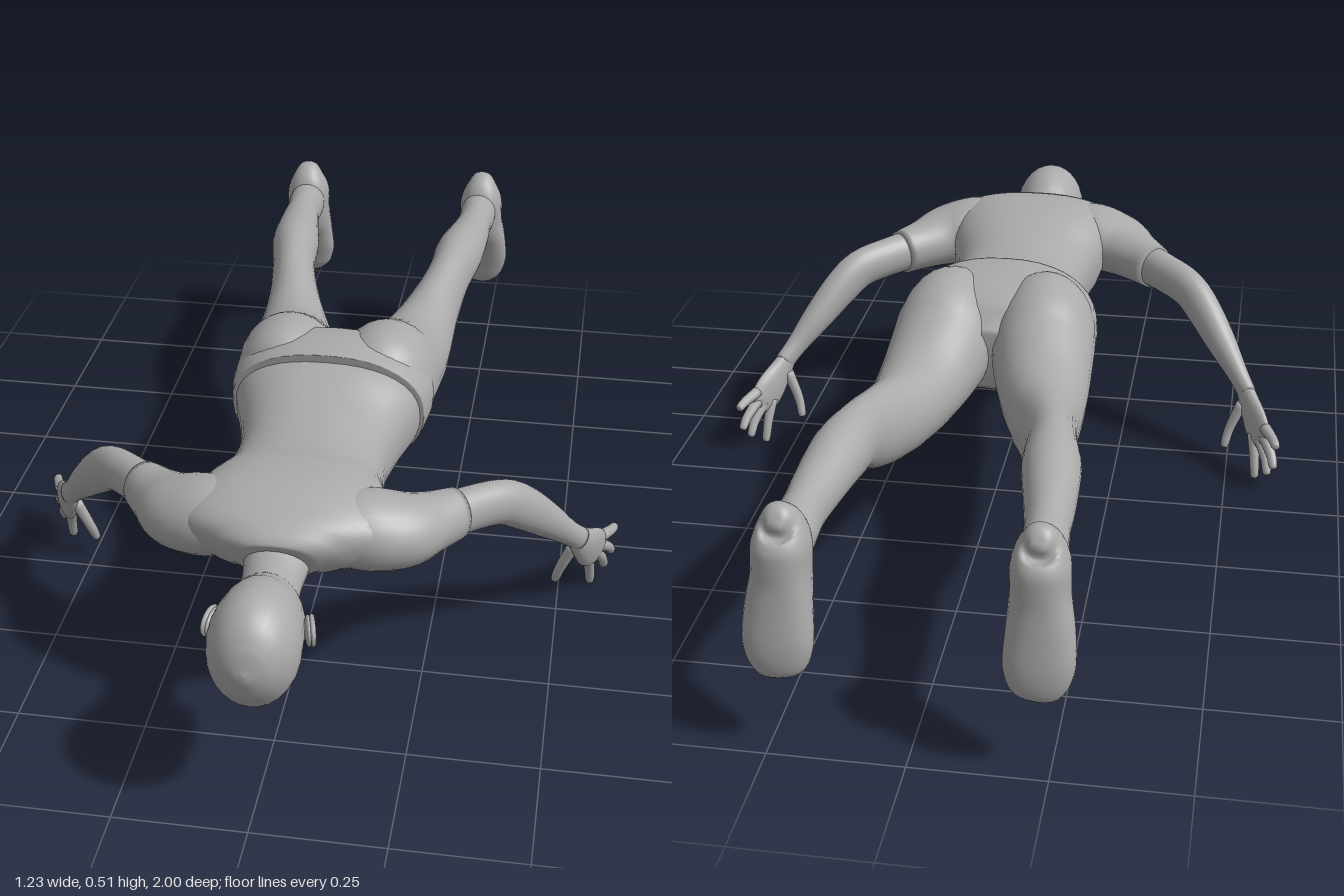
import * as THREE from 'three';

const grey = new THREE.MeshStandardMaterial({ color: 0xaaaaaa });
grey.name = 'plainGrey';

// Smooth closed skin through rings [x, y, z, halfWidth, halfDepth]; width runs along `across`.
function loft(name, rings, { across = [1, 0, 0], sides = 28, steps = 5, boxy = 1 } = {}) {
  const path = new THREE.CatmullRomCurve3(rings.map(r => new THREE.Vector3(r[0], r[1], r[2])), false, 'catmullrom', 0.5);
  const size = new THREE.CatmullRomCurve3(rings.map(r => new THREE.Vector3(r[3], r[4], 0)), false, 'catmullrom', 0.5);
  const n = (rings.length - 1) * steps;
  const pos = [], index = [];
  const bend = v => Math.sign(v) * Math.pow(Math.abs(v), boxy);
  for (let i = 0; i <= n; i++) {
    const c = path.getPoint(i / n), s = size.getPoint(i / n), t = path.getTangent(i / n);
    const u = new THREE.Vector3(...across);
    u.addScaledVector(t, -u.dot(t)).normalize();
    const v = new THREE.Vector3().crossVectors(t, u);
    for (let j = 0; j < sides; j++) {
      const a = (j / sides) * Math.PI * 2;
      const p = c.clone()
        .addScaledVector(u, bend(Math.cos(a)) * Math.max(s.x, 0.001))
        .addScaledVector(v, bend(Math.sin(a)) * Math.max(s.y, 0.001));
      pos.push(p.x, p.y, p.z);
      if (i < n) {
        const k = i * sides + j, l = i * sides + (j + 1) % sides;
        index.push(k, l, k + sides, l, l + sides, k + sides);
      }
    }
  }
  // end caps
  for (const [i, flip] of [[0, true], [n, false]]) {
    const c = path.getPoint(i / n), m = pos.length / 3;
    pos.push(c.x, c.y, c.z);
    for (let j = 0; j < sides; j++) {
      const k = i * sides + j, l = i * sides + (j + 1) % sides;
      index.push(...(flip ? [m, l, k] : [m, k, l]));
    }
  }
  const g = new THREE.BufferGeometry();
  g.setAttribute('position', new THREE.Float32BufferAttribute(pos, 3));
  g.setIndex(index);
  g.computeVertexNormals();
  const mesh = new THREE.Mesh(g, grey);
  mesh.name = name;
  return mesh;
}

// Ring across the body given its low and high y
const slab = (z, w, low, high, x = 0) => [x, (low + high) / 2, z, w, (high - low) / 2];

function blob(name, x, y, z, rx, ry, rz) {
  const mesh = new THREE.Mesh(new THREE.SphereGeometry(1, 24, 16), grey);
  mesh.name = name;
  mesh.position.set(x, y, z);
  mesh.scale.set(rx, ry, rz);
  return mesh;
}

function buildHead() {
  const head = new THREE.Group();
  head.name = 'head';
  head.add(
    loft('neck', [slab(0.62, 0.07, 0.335, 0.44), slab(0.70, 0.06, 0.322, 0.418),
      slab(0.75, 0.055, 0.31, 0.412), slab(0.82, 0.06, 0.29, 0.42)]),
    loft('skull', [slab(0.735, 0.02, 0.275, 0.345), slab(0.755, 0.045, 0.246, 0.39), slab(0.79, 0.068, 0.23, 0.412),
      slab(0.83, 0.076, 0.229, 0.43), slab(0.87, 0.081, 0.232, 0.448), slab(0.91, 0.083, 0.235, 0.455),
      slab(0.95, 0.073, 0.256, 0.443), slab(0.98, 0.049, 0.292, 0.41), slab(0.993, 0.024, 0.325, 0.378),
      slab(0.998, 0.002, 0.35, 0.354)]),
    blob('chin', 0, 0.25, 0.757, 0.026, 0.02, 0.018),
    blob('lips', 0, 0.231, 0.786, 0.022, 0.01, 0.01),
    loft('nose', [[0, 0.237, 0.875, 0.006, 0.005], [0, 0.228, 0.85, 0.009, 0.012],
      [0, 0.222, 0.825, 0.015, 0.015], [0, 0.23, 0.812, 0.006, 0.005]], { sides: 14 }));
  for (const s of [-1, 1]) {
    const ear = blob('ear', s * 0.084, 0.342, 0.842, 0.008, 0.026, 0.033);
    ear.rotation.y = s * 0.25;
    const rim = new THREE.Mesh(new THREE.TorusGeometry(0.022, 0.005, 8, 24), grey);
    rim.name = 'earRim';
    rim.position.set(s * 0.091, 0.344, 0.842);
    rim.rotation.y = Math.PI / 2 + s * 0.25;
    rim.scale.x = 1.25;
    head.add(ear, rim, blob('eye', s * 0.032, 0.245, 0.852, 0.016, 0.011, 0.009));
  }
  return head;
}

function buildArm(s) {
  const arm = new THREE.Group();
  arm.name = s > 0 ? 'leftArm' : 'rightArm';
  const side = rings => rings.map(([x, ...r]) => [s * x, ...r]);
  const up = { across: [0, 1, 0] };
  arm.add(
    loft('sleeve', side([[0.07, 0.405, 0.605, 0.06, 0.06], [0.14, 0.395, 0.59, 0.075, 0.082],
      [0.205, 0.383, 0.565, 0.07, 0.082], [0.255, 0.374, 0.52, 0.058, 0.062], [0.302, 0.368, 0.472, 0.052, 0.046]]), up),
    loft('forearm', side([[0.27, 0.37, 0.505, 0.048, 0.042], [0.33, 0.365, 0.445, 0.046, 0.038],
      [0.385, 0.352, 0.395, 0.046, 0.036], [0.425, 0.317, 0.356, 0.044, 0.036], [0.47, 0.262, 0.308, 0.036, 0.032],
      [0.512, 0.207, 0.262, 0.026, 0.022], [0.538, 0.172, 0.23, 0.025, 0.018]]), up),
    // palm lies in a plane of height and reach
    loft('palm', side([[0.53, 0.183, 0.24, 0.023, 0.017], [0.545, 0.153, 0.215, 0.034, 0.018],
      [0.56, 0.125, 0.185, 0.043, 0.017], [0.573, 0.103, 0.16, 0.04, 0.014], [0.58, 0.092, 0.148, 0.028, 0.008]]),
    { across: [-0.44 * s, -0.6, 0.6], sides: 20 }));
  const fingers = [
    ['thumb', [0.527, 0.15, 0.225], [0.503, 0.09, 0.218], [0.492, 0.046, 0.205]],
    ['indexFinger', [0.556, 0.1, 0.18], [0.562, 0.053, 0.158], [0.566, 0.006, 0.142]],
    ['middleFinger', [0.57, 0.1, 0.163], [0.586, 0.065, 0.134], [0.593, 0.032, 0.112]],
    ['ringFinger', [0.58, 0.11, 0.152], [0.598, 0.083, 0.118], [0.606, 0.058, 0.094]],
    ['littleFinger', [0.582, 0.13, 0.15], [0.6, 0.122, 0.113], [0.609, 0.115, 0.086]]
  ];
  for (const [name, a, b, c] of fingers) {
    const nearTip = c.map((v, i) => v + (b[i] - v) * 0.15);
    arm.add(loft(name, side([[...a, 0.013, 0.013], [...b, 0.011, 0.011], [...nearTip, 0.009, 0.009], [...c, 0.002, 0.002]]),
      { across: [s, 0, 0.7], sides: 12 }));
  }
  return arm;
}

function buildLeg(s) {
  const leg = new THREE.Group();
  leg.name = s > 0 ? 'leftLeg' : 'rightLeg';
  const ring = (z, inner, outer, low, high) => slab(z, (outer - inner) / 2, low, high, s * (inner + outer) / 2);
  leg.add(
    loft('trouserLeg', [ring(0.11, 0.03, 0.17, 0.3, 0.47), ring(0.07, 0.0, 0.2, 0.265, 0.508),
      ring(0.0, -0.004, 0.213, 0.254, 0.508), ring(-0.07, 0.004, 0.217, 0.252, 0.475), ring(-0.18, 0.034, 0.22, 0.25, 0.43),
      ring(-0.29, 0.07, 0.22, 0.252, 0.42), ring(-0.395, 0.107, 0.222, 0.272, 0.436), ring(-0.5, 0.135, 0.234, 0.313, 0.453),
      ring(-0.6, 0.142, 0.253, 0.334, 0.457), ring(-0.72, 0.163, 0.258, 0.337, 0.441), ring(-0.8, 0.175, 0.257, 0.335, 0.434),
      ring(-0.88, 0.175, 0.262, 0.33, 0.43), ring(-0.93, 0.185, 0.25, 0.345, 0.415)]));
  // foot runs from heel down to toe, sole facing back
  const sole = (y, x, w, back, front) => [s * x, y, (back + front) / 2, w, (front - back) / 2];
  leg.add(loft('foot', [sole(0.448, 0.222, 0.012, -0.965, -0.945), sole(0.438, 0.222, 0.035, -0.978, -0.895),
    sole(0.4, 0.222, 0.051, -0.984, -0.868), sole(0.34, 0.223, 0.053, -0.987, -0.873), sole(0.28, 0.226, 0.06, -0.992, -0.905),
    sole(0.22, 0.226, 0.063, -0.999, -0.93), sole(0.18, 0.223, 0.052, -0.998, -0.942), sole(0.16, 0.221, 0.034, -0.99, -0.952),
    sole(0.152, 0.22, 0.008, -0.978, -0.966)], { boxy: 0.88 }));
  return leg;
}

export function createModel() {
  const model = new THREE.Group();
  model.name = 'lyingFigure';
  // shirt, from hem to collar
  model.add(loft('shirt', [slab(0.1, 0.197, 0.25, 0.488), slab(0.14, 0.19, 0.238, 0.486), slab(0.22, 0.165, 0.238, 0.465),
    slab(0.31, 0.15, 0.24, 0.457), slab(0.4, 0.155, 0.238, 0.46), slab(0.47, 0.172, 0.245, 0.47),
    slab(0.53, 0.185, 0.272, 0.485), slab(0.59, 0.195, 0.305, 0.488), slab(0.645, 0.19, 0.325, 0.472),
    slab(0.68, 0.13, 0.33, 0.453), slab(0.703, 0.07, 0.333, 0.43)], { boxy: 0.85, sides: 40 }));
  // seat of the trousers, with a slight step at the waist
  model.add(loft('trouserSeat', [slab(0.127, 0.2, 0.234, 0.503), slab(0.09, 0.208, 0.24, 0.506), slab(0.03, 0.21, 0.25, 0.498),
    slab(-0.03, 0.18, 0.262, 0.46), slab(-0.075, 0.09, 0.29, 0.42)], { boxy: 0.88, sides: 40 }));
  for (const s of [-1, 1]) {
    model.add(blob('chest', s * 0.07, 0.277, 0.45, 0.078, 0.055, 0.068), buildArm(s), buildLeg(s));
  }
  model.add(buildHead());
  return model;
}
